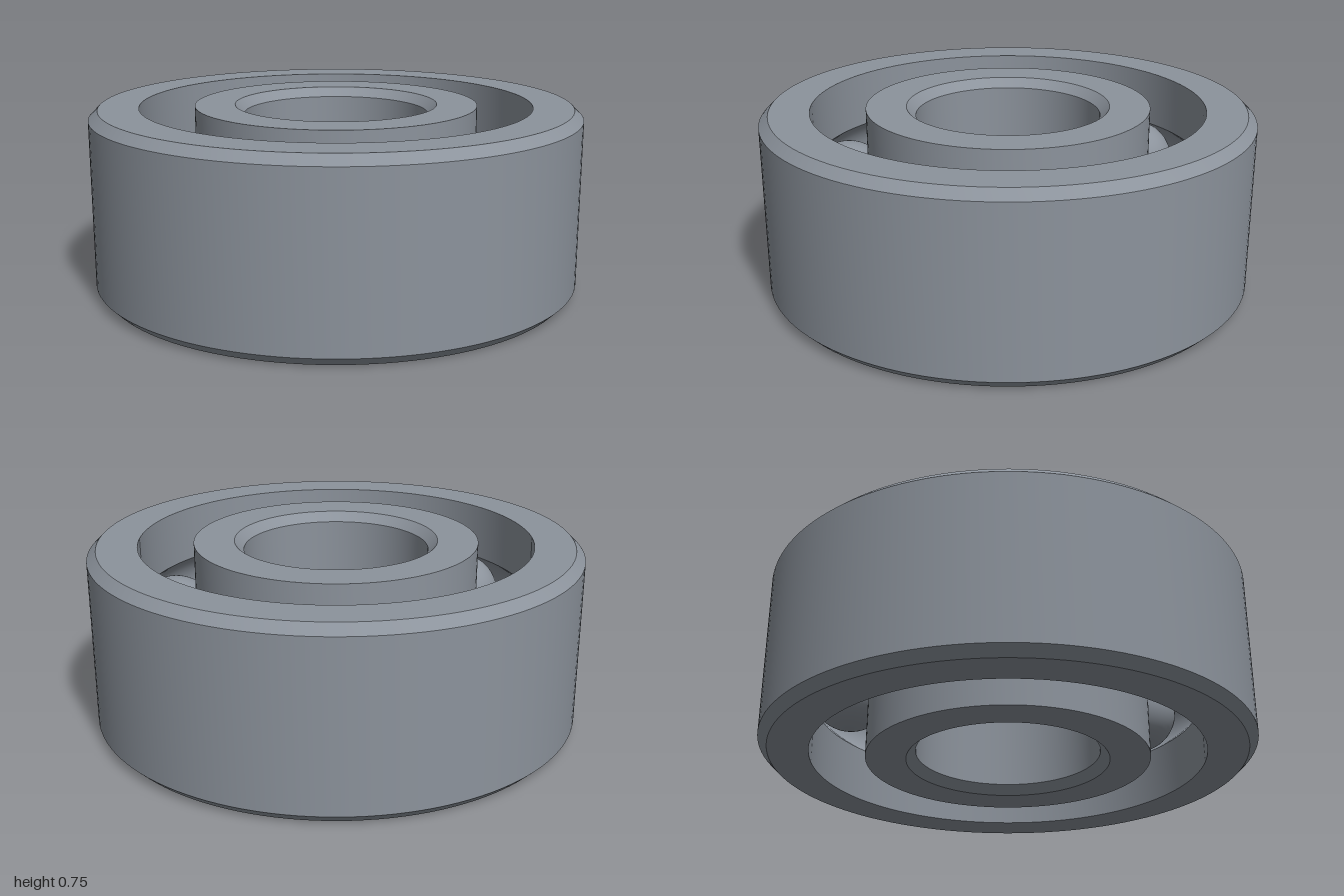
import * as THREE from 'three';
import { toCreasedNormals } from 'three/addons/utils/BufferGeometryUtils.js';

const HEIGHT = 0.75, MID = HEIGHT / 2, CHAMFER = 0.0375;
const OUTER = 1, BORE = 0.375;
const PITCH = 0.6875, GAP = 0.1115;          // ball circle, and half the gap between the rings
const BALL = 0.1725, GROOVE = 0.181, BALLS = 8;

// Arc of the ball groove, as seen in the ring's cross-section
function grooveArc(from, to, steps = 16) {
  return Array.from({ length: steps + 1 }, (_, i) => {
    const a = from + (to - from) * i / steps;
    return [PITCH + GROOVE * Math.cos(a), MID + GROOVE * Math.sin(a)];
  });
}

// Spin a closed counter-clockwise cross-section round the y axis
function ring(name, profile, material) {
  const points = [...profile, profile[0]].map(([x, y]) => new THREE.Vector2(x, y));
  const geometry = toCreasedNormals(new THREE.LatheGeometry(points, 128), Math.PI / 7);
  const mesh = new THREE.Mesh(geometry, material);
  mesh.name = name;
  return mesh;
}

export function createModel() {
  const group = new THREE.Group();
  group.name = 'ballBearing';
  const steel = new THREE.MeshStandardMaterial({ color: 0x8c939c });
  steel.name = 'steel';

  const a = Math.acos(GAP / GROOVE);

  // Outer ring: chamfered outside, grooved inside
  group.add(ring('outerRing', [
    [OUTER - CHAMFER, 0], [OUTER, CHAMFER],
    [OUTER, HEIGHT - CHAMFER], [OUTER - CHAMFER, HEIGHT],
    [PITCH + GAP, HEIGHT], ...grooveArc(a, -a), [PITCH + GAP, 0],
  ], steel));

  // Inner ring: grooved outside, chamfered bore
  group.add(ring('innerRing', [
    [PITCH - GAP, 0], ...grooveArc(Math.PI + a, Math.PI - a), [PITCH - GAP, HEIGHT],
    [BORE + CHAMFER, HEIGHT], [BORE, HEIGHT - CHAMFER],
    [BORE, CHAMFER], [BORE + CHAMFER, 0],
  ], steel));

  // Balls, evenly spaced in the groove
  const ballGeometry = new THREE.SphereGeometry(BALL, 40, 28);
  const start = THREE.MathUtils.degToRad(12);
  for (let i = 0; i < BALLS; i++) {
    const angle = start + i * 2 * Math.PI / BALLS;
    const ball = new THREE.Mesh(ballGeometry, steel);
    ball.name = `ball${i + 1}`;
    ball.position.set(PITCH * Math.cos(angle), MID, PITCH * Math.sin(angle));
    group.add(ball);
  }
  return group;
}
